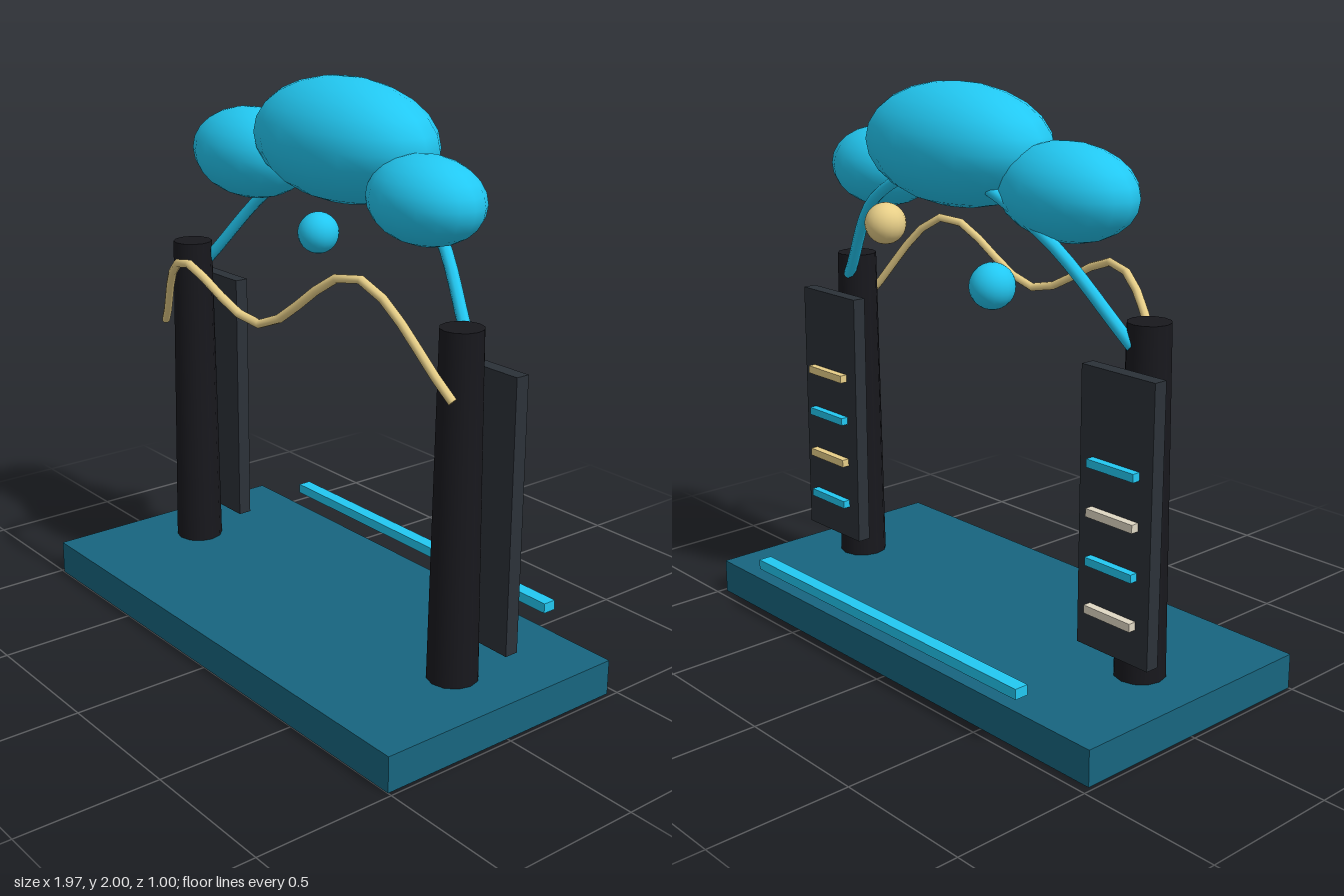
import * as THREE from 'three';

const mat = (color) => new THREE.MeshStandardMaterial({ color });

export function createModel() {
  const model = new THREE.Group();
  const teal = mat(0x17657f), blue = mat(0x22c8f2), tan = mat(0xe8cf88);
  const pale = mat(0xe0d8c4), black = mat(0x18181d), slate = mat(0x2b3138);

  const add = (name, geometry, material, x = 0, y = 0, z = 0) => {
    const mesh = new THREE.Mesh(geometry, material);
    mesh.name = name;
    mesh.position.set(x, y, z);
    model.add(mesh);
    return mesh;
  };
  const box = (name, w, h, d, material, x, y, z) =>
    add(name, new THREE.BoxGeometry(w, h, d), material, x, y, z);

  // Tube through a few points, with closed ends
  const tube = (name, points, segments, radius, material) => {
    const curve = new THREE.CatmullRomCurve3(points.map((p) => new THREE.Vector3(...p)));
    add(name, new THREE.TubeGeometry(curve, segments, radius, 8), material);
    for (const t of [0, 1]) {
      const cap = add(name + 'End', new THREE.CircleGeometry(radius, 8), material);
      cap.position.copy(curve.getPointAt(t));
      const out = curve.getTangentAt(t).multiplyScalar(t ? 1 : -1);
      cap.quaternion.setFromUnitVectors(new THREE.Vector3(0, 0, 1), out);
    }
  };

  // Base slab and the light bar behind it
  box('base', 1.97, 0.125, 0.967, teal, 0, 0.0625, 0.0165);
  box('rearBar', 1.395, 0.036, 0.05, blue, 0, 0.208, -0.475);

  // Posts, back panels and rungs on each side
  for (const side of [-1, 1]) {
    const label = side > 0 ? 'left' : 'right';
    const x = side * 0.74;
    add(label + 'Post', new THREE.CylinderGeometry(0.072, 0.088, 1.19, 12), black, x, 0.72, 0.018);
    box(label + 'Panel', 0.308, 0.945, 0.05, slate, x, 0.7025, -0.095);
    for (let i = 0; i < 4; i++) {
      const isBlue = (i % 2 === 0) === (side > 0);
      box(label + 'Rung', 0.2, 0.028, 0.028, isBlue ? blue : side > 0 ? tan : pale,
        x, 0.37 + i * 0.1655, -0.134);
    }
  }

  // Arch rising from the posts through the canopy
  tube('arch', [
    [-0.72, 1.24, -0.035], [-0.42, 1.56, -0.135], [0, 1.72, -0.16],
    [0.42, 1.58, -0.135], [0.72, 1.24, -0.035],
  ], 28, 0.021, blue);

  // Wavy ribbon in front
  tube('ribbon', [
    [-0.655, 1.058, 0.2], [-0.27, 1.376, 0.365], [0.11, 1.237, 0.328],
    [0.487, 1.455, 0.235], [0.815, 1.115, 0.12],
  ], 20, 0.015, tan);

  // Canopy of three ellipsoids
  const puff = (name, x, y, z, rx, ry, rz) =>
    add(name, new THREE.SphereGeometry(1, 18, 12), blue, x, y, z).scale.set(rx, ry, rz);
  puff('canopyCentre', 0.062, 1.792, -0.065, 0.41, 0.208, 0.228);
  puff('canopyRight', -0.43, 1.686, -0.038, 0.275, 0.16, 0.172);
  puff('canopyLeft', 0.52, 1.668, -0.02, 0.225, 0.143, 0.16);

  // Hanging balls
  add('blueBall', new THREE.SphereGeometry(0.076, 20, 14), blue, -0.293, 1.39, -0.232);
  add('tanBall', new THREE.SphereGeometry(0.071, 20, 14), tan, 0.222, 1.525, -0.252);

  return model;
}
